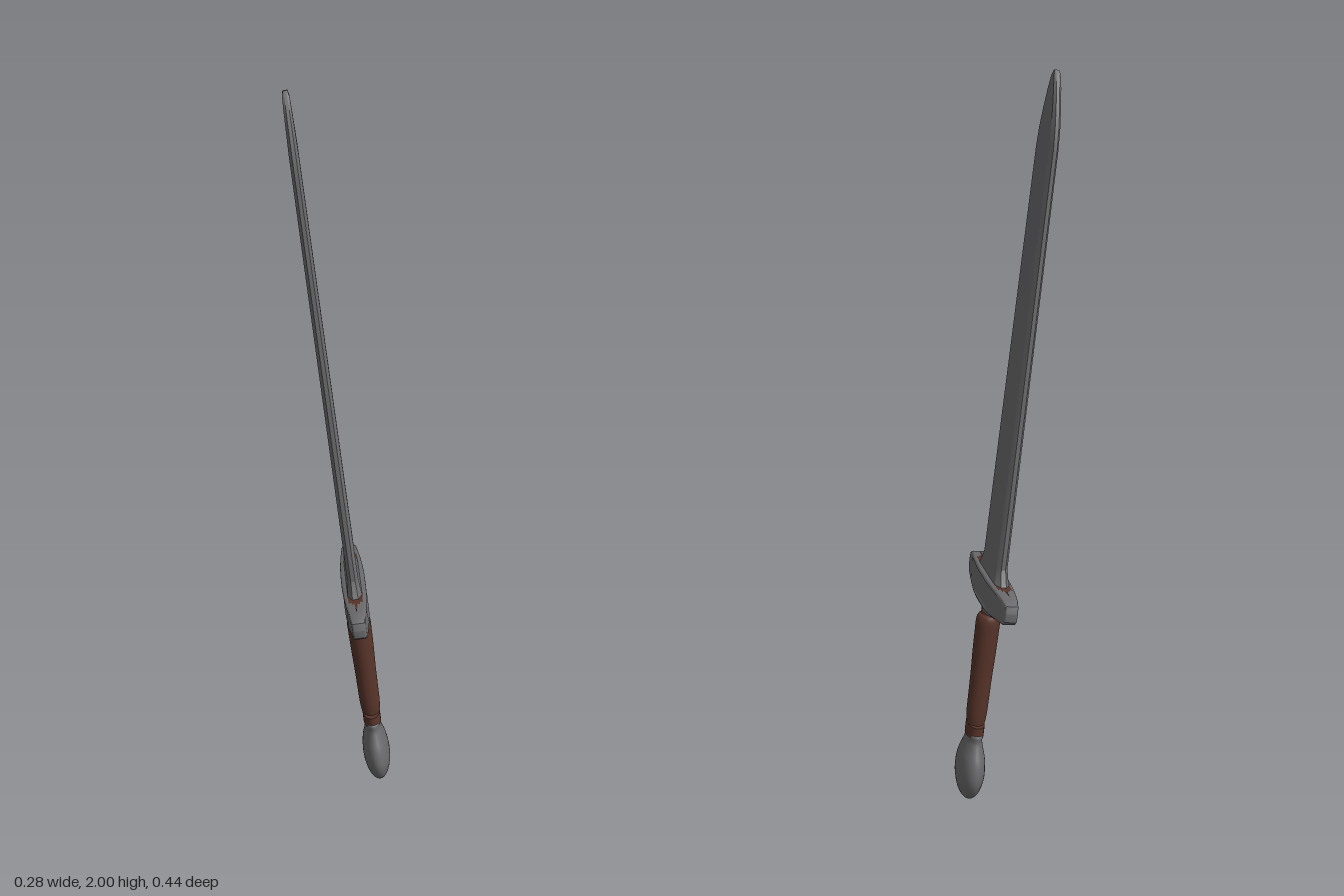
import * as THREE from 'three';
import { toCreasedNormals } from 'three/addons/utils/BufferGeometryUtils.js';

const steel = new THREE.MeshStandardMaterial({ color: 0x6a6a6c });
steel.name = 'steel';
const leather = new THREE.MeshStandardMaterial({ color: 0x573429, side: THREE.DoubleSide });
leather.name = 'brown leather';

function part(name, geometry, material) {
  const mesh = new THREE.Mesh(geometry, material);
  mesh.name = name;
  return mesh;
}

// Turned part from [radius, height] pairs, flattened across its thin side (x)
function turned(points, flat) {
  const curve = new THREE.SplineCurve(points.map(([r, y]) => new THREE.Vector2(r, y)));
  const profile = curve.getPoints(points.length * 4);
  profile.forEach(p => { p.x = Math.max(p.x, 0); });
  return new THREE.LatheGeometry(profile, 32).scale(flat, 1, 1);
}

// Bevelled blade lofted through [height, half width, half thickness]
function bladeGeometry() {
  const stations = [
    [0.66, 0.128, 0.022], [0.685, 0.108, 0.018], [0.715, 0.092, 0.015],
    [1.82, 0.08, 0.012], [1.87, 0.071, 0.012], [1.92, 0.055, 0.011],
    [1.97, 0.033, 0.01], [2.0, 0.016, 0.009], [2.014, 0.005, 0.006]
  ];
  const positions = [], index = [], n = 8;
  for (const [y, w, t] of stations) {
    const e = t * 0.4, f = w * 0.82;
    const ring = [[e, w], [t, f], [t, -f], [e, -w], [-e, -w], [-t, -f], [-t, f], [-e, w]];
    for (const [x, z] of ring) positions.push(x, y, z);
  }
  for (let i = 0; i < stations.length - 1; i++) {
    for (let j = 0; j < n; j++) {
      const a = i * n + j, b = i * n + (j + 1) % n;
      index.push(a, b, b + n, a, b + n, a + n);
    }
  }
  const top = (stations.length - 1) * n;
  for (let k = 1; k < n - 1; k++) index.push(top, top + k, top + k + 1);
  const geometry = new THREE.BufferGeometry();
  geometry.setAttribute('position', new THREE.Float32BufferAttribute(positions, 3));
  geometry.setIndex(index);
  return toCreasedNormals(geometry, 0.35);
}

// Crossguard: outline extruded across the thin side, then tapered to the ends
function guardGeometry() {
  const half = [
    [0.04, 0.665], [0.08, 0.665], [0.12, 0.665], [0.16, 0.664], [0.195, 0.661],
    [0.211, 0.654], [0.217, 0.64], [0.215, 0.622], [0.204, 0.613],
    [0.16, 0.607], [0.12, 0.601], [0.08, 0.595], [0.04, 0.593]
  ];
  const outline = [...half, ...half.map(([w, y]) => [-w, y]).reverse()];
  const shape = new THREE.Shape(outline.map(([w, y]) => new THREE.Vector2(w, y)));
  const geometry = new THREE.ExtrudeGeometry(shape, {
    depth: 0.052, bevelSize: 0.008, bevelThickness: 0.008, bevelSegments: 3
  });
  geometry.translate(0, 0, -0.026).rotateY(-Math.PI / 2);
  const p = geometry.attributes.position;
  for (let i = 0; i < p.count; i++) {
    p.setX(i, p.getX(i) * (1 - 0.6 * (p.getZ(i) / 0.25) ** 2));
  }
  return toCreasedNormals(geometry, 0.6);
}

// Ragged brown patch laid on the guard along height(w)
function patchGeometry(side, height) {
  const points = [
    [-0.021, 0.085], [-0.019, 0.136], [-0.012, 0.13], [-0.009, 0.142], [-0.005, 0.135],
    [0, 0.185], [0.004, 0.137], [0.01, 0.143], [0.013, 0.128], [0.019, 0.134],
    [0.021, 0.085], [0.006, 0.1], [0, 0.088], [-0.008, 0.102]
  ];
  const geometry = new THREE.ShapeGeometry(
    new THREE.Shape(points.map(([x, w]) => new THREE.Vector2(x, w))));
  const p = geometry.attributes.position;
  for (let i = 0; i < p.count; i++) {
    const w = p.getY(i);
    p.setXYZ(i, p.getX(i), height(w), side * w);
  }
  geometry.computeVertexNormals();
  return geometry;
}

export function createModel() {
  const model = new THREE.Group();
  model.name = 'sword';

  // Leaning frame: x is the thin side, y the blade, z the guard direction
  const sword = new THREE.Group();
  sword.name = 'leaningSword';
  sword.position.set(0.105, 0.002, -0.015);
  sword.rotation.set(0, 0.26, 0.123, 'YXZ');
  model.add(sword);

  sword.add(part('blade', bladeGeometry(), steel));
  sword.add(part('crossguard', guardGeometry(), steel));

  // Collar under the guard
  const collar = new THREE.CylinderGeometry(0.06, 0.052, 0.03, 24).scale(0.38, 1, 1);
  collar.translate(0, 0.579, 0);
  sword.add(part('collar', collar, steel));

  // Ragged brown marks on the guard's top and underside
  for (const side of [-1, 1]) {
    sword.add(part('guardTopMark', patchGeometry(side, () => 0.6742), leather));
    sword.add(part('guardUndersideMark',
      patchGeometry(side, w => 0.5825 + 0.15 * (w - 0.08)), leather));
  }

  // Leather grip with its narrow neck
  sword.add(part('grip', turned([
    [0.024, 0.2], [0.028, 0.225], [0.032, 0.26], [0.033, 0.32], [0.034, 0.38],
    [0.036, 0.44], [0.037, 0.5], [0.037, 0.535], [0.032, 0.552], [0.024, 0.558], [0.024, 0.59]
  ], 0.9), leather));

  // Ring between grip and pommel
  const ring = new THREE.CylinderGeometry(0.046, 0.046, 0.034, 24).scale(0.55, 1, 1);
  ring.translate(0, 0.211, 0);
  sword.add(part('gripRing', ring, leather));

  // Flattened teardrop pommel
  sword.add(part('pommel', turned([
    [0, 0], [0.032, 0.006], [0.062, 0.028], [0.081, 0.062], [0.085, 0.095],
    [0.077, 0.13], [0.06, 0.16], [0.049, 0.182], [0.046, 0.205], [0, 0.207]
  ], 0.46), steel));

  return model;
}
